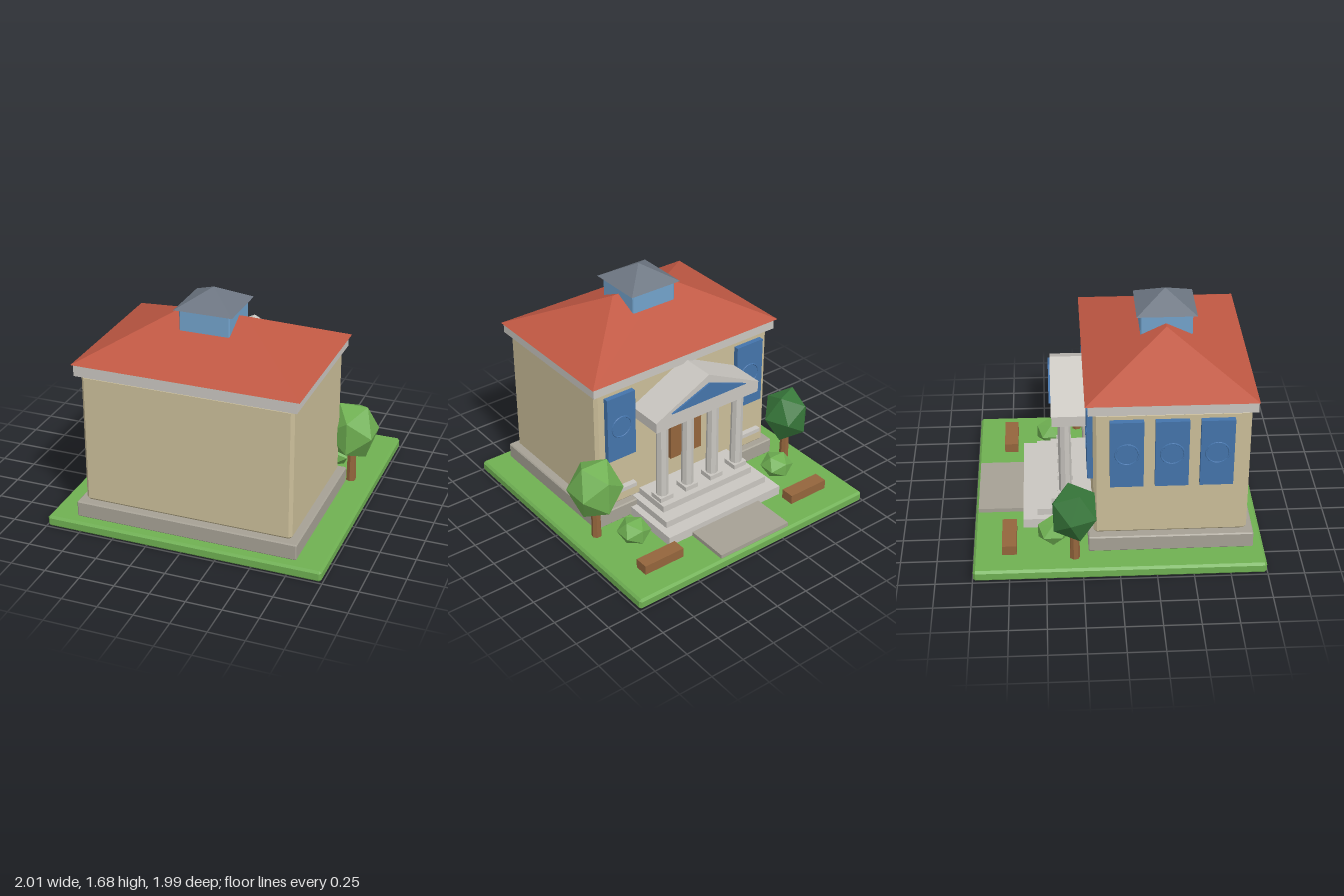
import * as THREE from 'three';
import { ConvexGeometry } from 'three/addons/geometries/ConvexGeometry.js';

const mat = (name, color, extra = {}) => {
  const m = new THREE.MeshStandardMaterial({ color, ...extra });
  m.name = name;
  return m;
};

export function createModel() {
  const model = new THREE.Group();
  model.name = 'townHall';
  const flat = { flatShading: true };
  const green = mat('leafGreen', 0x6fb052, flat);
  const darkGreen = mat('darkLeafGreen', 0x37773a, flat);
  const brown = mat('wood', 0x94653c, flat);
  const stone = mat('paleStone', 0xc9c6c0, flat);
  const grey = mat('plinthStone', 0xa6a195, flat);
  const wall = mat('sandWall', 0xcbbe99, flat);
  const red = mat('roofTile', 0xc05843, flat);
  const blue = mat('windowBlue', 0x4474ab, flat);
  const paleBlue = mat('cupolaBlue', 0x72a2cb, flat);
  const slate = mat('slate', 0x6d7682, flat);

  const add = (name, geo, material, x = 0, y = 0, z = 0) => {
    const mesh = new THREE.Mesh(geo, material);
    mesh.name = name;
    mesh.position.set(x, y, z);
    model.add(mesh);
    return mesh;
  };
  // box given by its limits on each axis
  const box = (name, material, x0, x1, y0, y1, z0, z1) =>
    add(name, new THREE.BoxGeometry(x1 - x0, y1 - y0, z1 - z0), material,
      (x0 + x1) / 2, (y0 + y1) / 2, (z0 + z1) / 2);
  // box with chamfered edges
  const chamferBox = (name, material, x0, x1, y0, y1, z0, z1, c) => {
    const h = [(x1 - x0) / 2, (y1 - y0) / 2, (z1 - z0) / 2];
    const pts = [];
    for (const sx of [-1, 1]) for (const sy of [-1, 1]) for (const sz of [-1, 1])
      for (let k = 0; k < 3; k++) {
        const d = h.map((v, i) => (i === k ? v : v - c));
        pts.push(new THREE.Vector3(sx * d[0], sy * d[1], sz * d[2]));
      }
    return add(name, new ConvexGeometry(pts), material,
      (x0 + x1) / 2, (y0 + y1) / 2, (z0 + z1) / 2);
  };
  // hipped roof: rectangular eaves rising to a ridge (or a point)
  const hipRoof = (name, material, hx, hz, ridge, y0, y1, z) => {
    const pts = [];
    for (const s of [-1, 1]) {
      pts.push(new THREE.Vector3(s * hx, 0, -hz), new THREE.Vector3(s * hx, 0, hz));
      if (ridge > 0) pts.push(new THREE.Vector3(s * ridge, y1 - y0, 0));
    }
    if (!ridge) pts.push(new THREE.Vector3(0, y1 - y0, 0));
    add(name, new ConvexGeometry(pts), material, 0, y0, z);
  };
  const triangle = (name, material, hw, h, depth, y, z) => {
    const s = new THREE.Shape([
      new THREE.Vector2(-hw, 0), new THREE.Vector2(hw, 0), new THREE.Vector2(0, h)]);
    add(name, new THREE.ExtrudeGeometry(s, { depth, bevelEnabled: false }), material, 0, y, z);
  };

  // lawn and main building
  chamferBox('lawn', green, -0.99, 0.99, 0, 0.08, -0.995, 0.995, 0.016);
  chamferBox('plinth', grey, -0.795, 0.795, 0.08, 0.197, -0.21, 0.92, 0.008);
  chamferBox('walls', wall, -0.745, 0.745, 0.195, 1.15, -0.172, 0.875, 0.022);
  box('cornice', stone, -0.775, 0.775, 1.15, 1.23, -0.205, 0.91);
  hipRoof('mainRoof', red, 0.793, 0.57, 0.225, 1.228, 1.505, 0.345);

  // cupola
  chamferBox('cupola', paleBlue, -0.178, 0.178, 1.4, 1.565, 0.172, 0.528, 0.008);
  hipRoof('cupolaRoof', slate, 0.206, 0.206, 0, 1.565, 1.685, 0.35);

  // entrance steps and path on the -z side
  box('lowerStep', stone, -0.495, 0.495, 0.08, 0.15, -0.655, -0.15);
  box('middleStep', stone, -0.445, 0.445, 0.15, 0.2, -0.555, -0.15);
  box('upperStep', stone, -0.395, 0.395, 0.2, 0.25, -0.455, -0.15);
  box('path', grey, -0.298, 0.298, 0.075, 0.11, -0.975, -0.65);

  // portico
  for (const x of [-0.33, -0.11, 0.11, 0.33]) {
    box('columnBase', stone, x - 0.055, x + 0.055, 0.25, 0.285, -0.41, -0.3);
    add('column', new THREE.CylinderGeometry(0.042, 0.045, 0.59, 8), stone, x, 0.58, -0.355);
  }
  box('entablature', stone, -0.44, 0.44, 0.87, 0.95, -0.442, -0.165);
  triangle('pediment', stone, 0.445, 0.22, 0.28, 0.95, -0.445);
  triangle('pedimentPanel', blue, 0.32, 0.125, 0.02, 0.985, -0.458);
  box('door', brown, -0.135, 0.135, 0.4, 0.9, -0.197, -0.165);

  // windows with a slim raised ring, facade and -x wall
  const ring = new THREE.TorusGeometry(0.078, 0.006, 6, 20);
  for (const x of [-0.56, 0.56]) {
    box('facadeWindow', blue, x - 0.115, x + 0.115, 0.6, 1.1, -0.21, -0.165);
    add('windowRing', ring, blue, x, 0.853, -0.21);
    box('windowSill', stone, x - 0.115, x + 0.115, 0.315, 0.345, -0.215, -0.165);
  }
  for (const z of [0.05, 0.35, 0.65]) {
    box('sideWindow', blue, -0.785, -0.74, 0.6, 1.1, z - 0.112, z + 0.112);
    add('windowRing', ring, blue, -0.785, 0.853, z).rotation.y = Math.PI / 2;
  }

  // garden: planters, bushes and trees
  for (const s of [-1, 1]) {
    box('planter', brown, s * 0.645 - 0.16, s * 0.645 + 0.16, 0.075, 0.15, -0.8, -0.7);
    const bush = add('bush', new THREE.IcosahedronGeometry(0.12, 0), green, s * 0.645, 0.163, -0.45);
    bush.scale.y = 0.8;
  }
  const tree = (x, z, y, r, turn, leaf) => {
    add('treeTrunk', new THREE.CylinderGeometry(0.03, 0.036, y - 0.16, 7), brown, x, 0.075 + (y - 0.16) / 2, z);
    const crown = add('treeCrown', new THREE.IcosahedronGeometry(r, 0), leaf, x, y, z);
    crown.scale.y = 1.19;
    crown.rotation.y = turn;
  };
  tree(-0.845, -0.305, 0.45, 0.178, 0.4, darkGreen);
  tree(0.82, -0.25, 0.48, 0.195, 0, green);
  return model;
}
